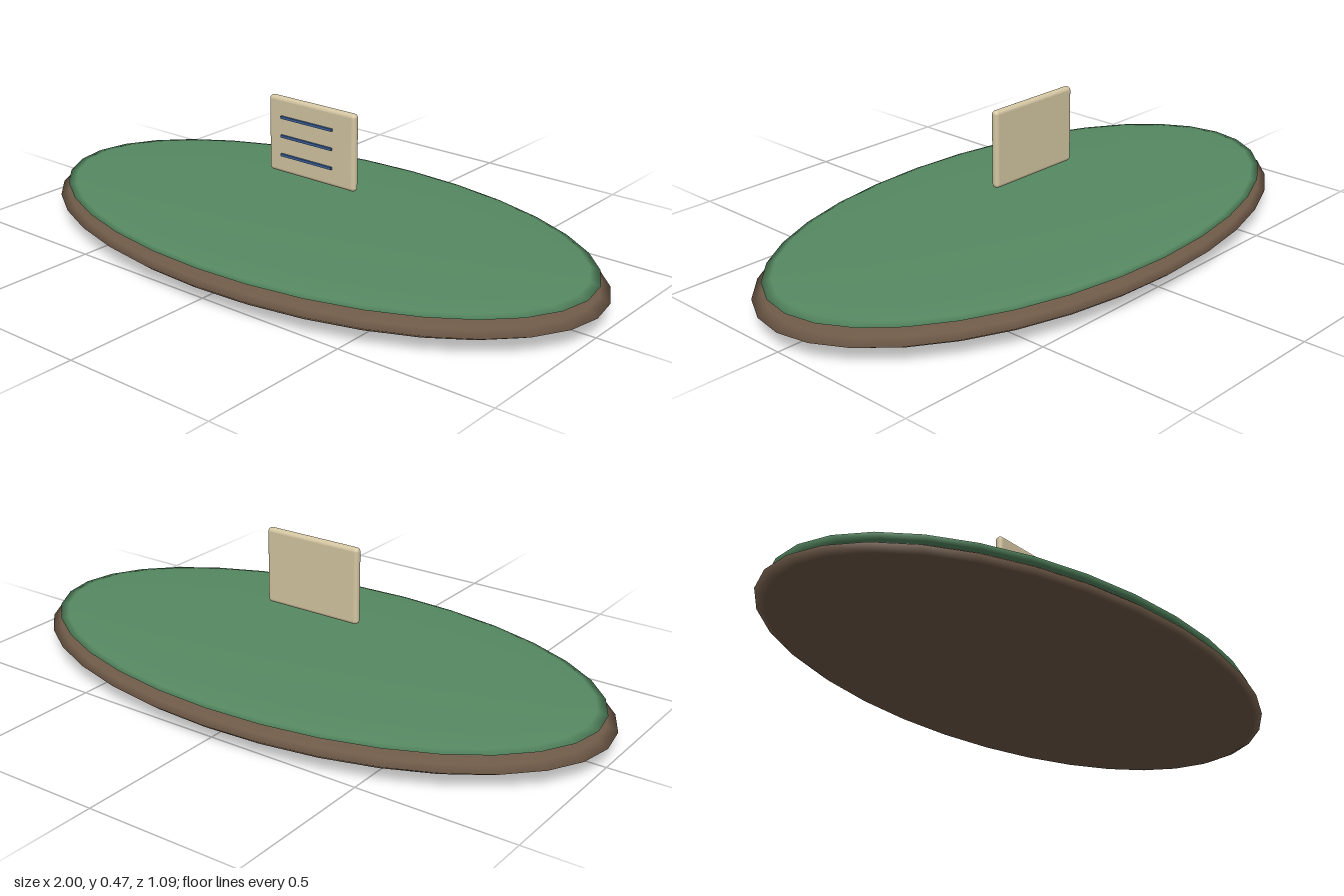
import * as THREE from 'three';
import { RoundedBoxGeometry } from 'three/addons/geometries/RoundedBoxGeometry.js';

const material = (name, color) => {
  const m = new THREE.MeshStandardMaterial({ color });
  m.name = name;
  return m;
};

export function createModel() {
  const group = new THREE.Group();
  group.name = 'floatingIslandWithSign';

  const soil = material('soil brown', 0x6f5a48);
  const grass = material('grass green', 0x568a62);
  const paper = material('paper cream', 0xd4c6a2);
  const ink = material('ink blue', 0x3a5f9a);

  const add = (name, geometry, mat, x, y, z) => {
    const mesh = new THREE.Mesh(geometry, mat);
    mesh.name = name;
    mesh.position.set(x, y, z);
    group.add(mesh);
  };

  // Flattened oval mounds: soil below, thin grass layer above
  const oval = (rx, ry, rz) => new THREE.SphereGeometry(1, 32, 12).scale(rx, ry, rz);
  add('soilBase', oval(1, 0.058, 0.545), soil, 0, 0.058, 0);
  add('grassTop', oval(0.968, 0.02, 0.523), grass, 0, 0.102, 0);

  // Upright board hovering over the middle
  add('signBoard', new RoundedBoxGeometry(0.336, 0.245, 0.026, 3, 0.0125), paper, 0, 0.344, 0);

  // Three written lines just in front of the board
  [0.405, 0.344, 0.283].forEach((y, i) => {
    add(`writtenLine${i + 1}`, new THREE.BoxGeometry(0.2, 0.008, 0.007), ink, -0.013, y, 0.019);
  });

  return group;
}
